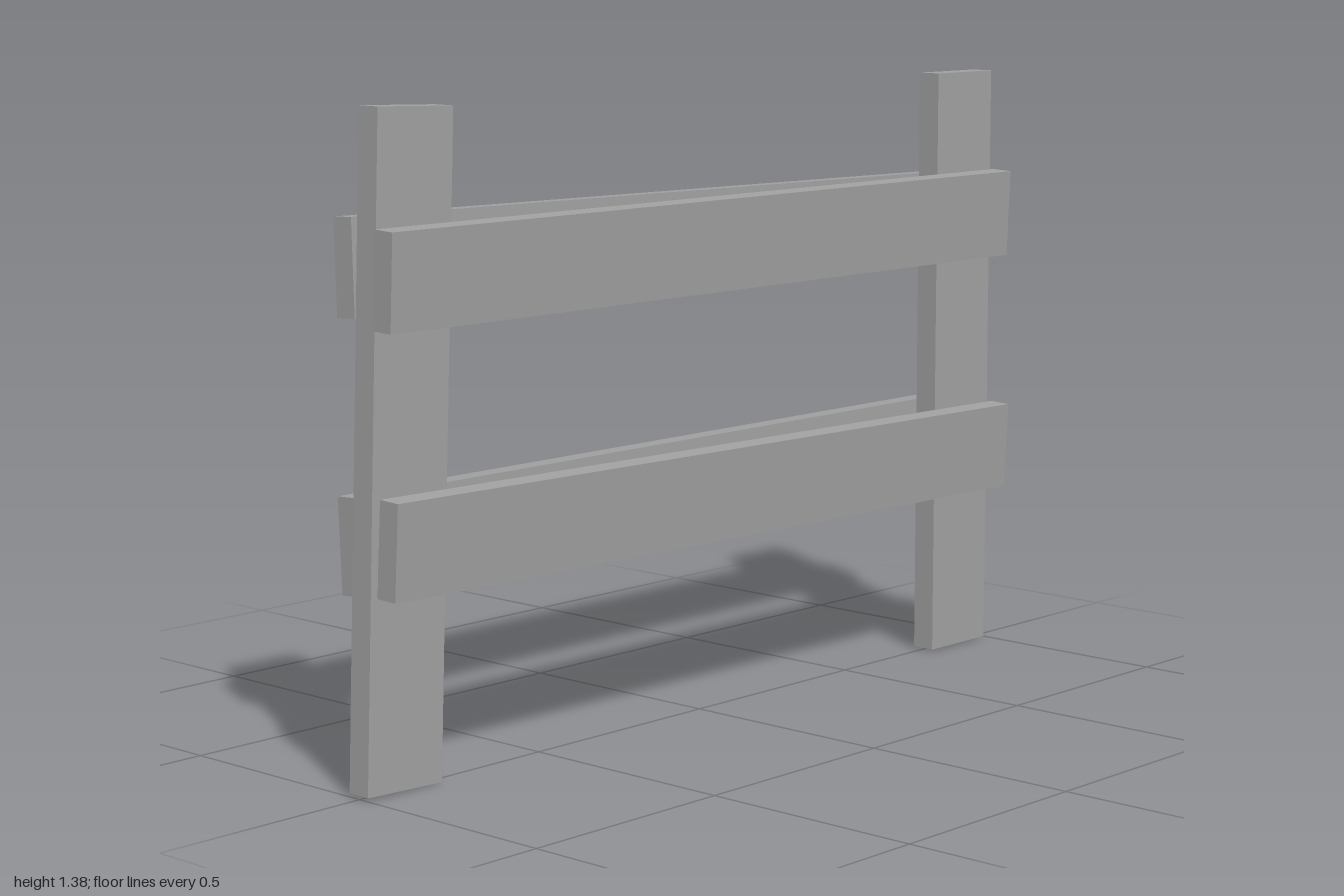
import * as THREE from 'three';

export function createModel() {
  const group = new THREE.Group();
  const grey = new THREE.MeshStandardMaterial({ color: 0xa0a0a0 });
  grey.name = 'plain grey';

  // One straight board, placed by its centre and tilted slightly
  function board(name, size, position, tiltX, tiltZ) {
    const mesh = new THREE.Mesh(new THREE.BoxGeometry(...size), grey);
    mesh.name = name;
    mesh.position.set(...position);
    mesh.rotation.set(tiltX, 0, tiltZ);
    group.add(mesh);
  }

  // Upright posts, the right one leaning inward
  const post = [0.2, 1.37, 0.055];
  board('rightPost', post, [-0.876, 0.69, 0], 0.004, -0.035);
  board('leftPost', post, [0.89, 0.69, 0.001], 0, 0);

  // Rails nailed to both faces, tops leaning outward
  const rail = [1.965, 0.2, 0.052];
  const rails = [
    ['upperFrontRail', 1.04, 0.055, 0.045, 0],
    ['upperBackRail', 1.048, -0.056, -0.045, -0.012],
    ['lowerFrontRail', 0.495, 0.058, 0.045, -0.013],
    ['lowerBackRail', 0.502, -0.056, -0.045, 0],
  ];
  for (const [name, y, z, tiltX, tiltZ] of rails) {
    board(name, rail, [0.014, y, z], tiltX, tiltZ);
  }

  return group;
}
